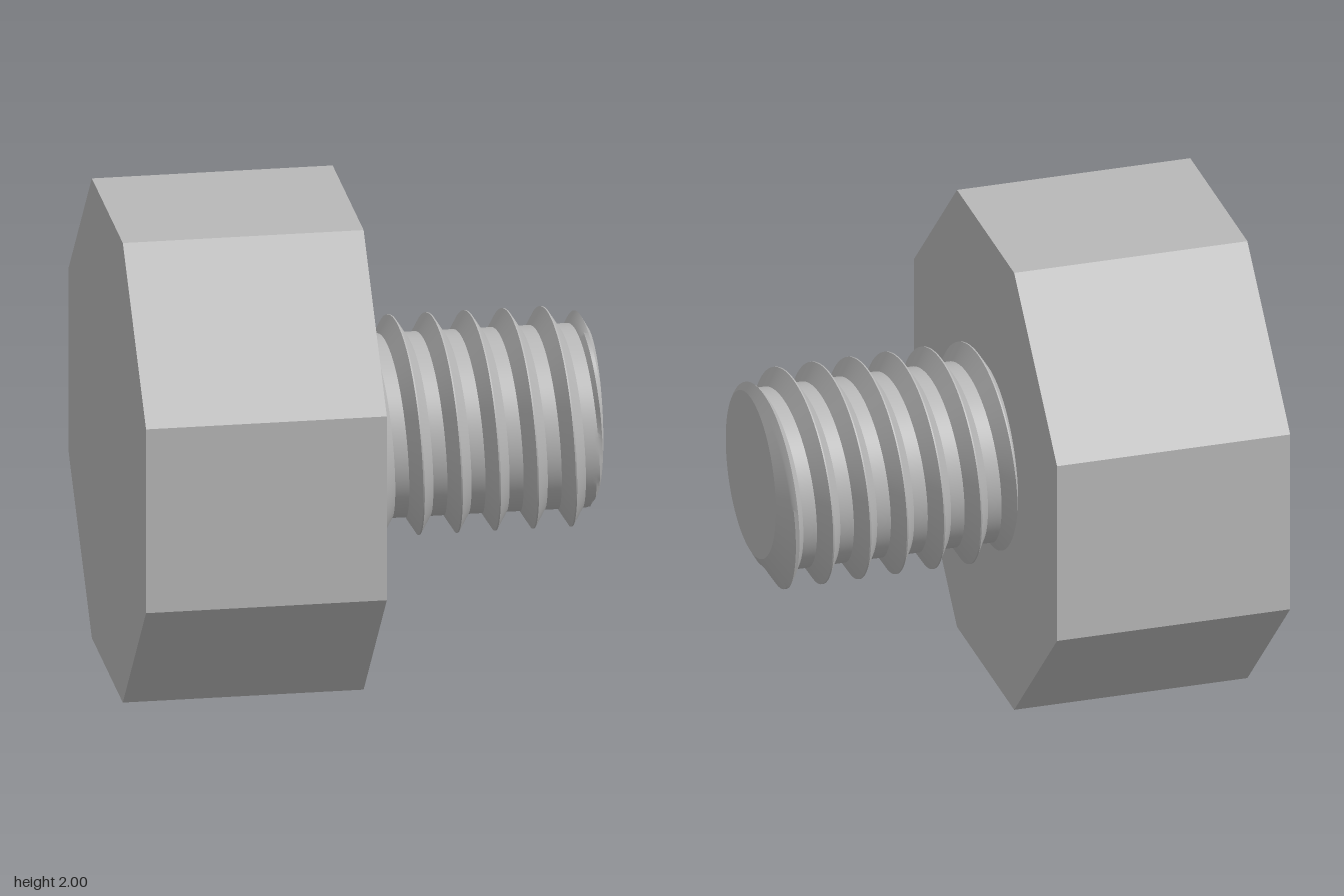
import * as THREE from 'three';
import { toCreasedNormals } from 'three/addons/utils/BufferGeometryUtils.js';

const PITCH = 0.1583, START = 0.04, ROOT = 0.38, CREST = 0.455;
const HALF_BASE = 0.05, HALF_TIP = 0.003, SEGMENTS = 128;

// Radius of the threaded shaft at position x and angle t (0 = up, turning to the front)
function shaftRadius(x, t) {
  const turns = (x - START) / PITCH - t / (Math.PI * 2);
  const d = Math.abs(turns - Math.round(turns)) * PITCH;
  const k = THREE.MathUtils.clamp((HALF_BASE - d) / (HALF_BASE - HALF_TIP), 0, 1);
  const chamfer = 0.35 + 0.022 * (Math.cos(t) + Math.sin(t)) + 1.8 * (1 - x);
  return Math.min(ROOT + (CREST - ROOT) * k, chamfer);
}

function shaftPoint(x, t) {
  const r = shaftRadius(x, t);
  return new THREE.Vector3(x, 1 + r * Math.cos(t), r * Math.sin(t));
}

// Rows follow the helix so the thread edges stay crisp; both ends are cut flat
function threadedShaft() {
  const offsets = [-HALF_BASE, -0.034, -0.018, -HALF_TIP, HALF_TIP, 0.018, 0.034, HALF_BASE, 0.064, 0.079, 0.094];
  const rows = [];
  for (let k = -1; k <= 7; k++) for (const o of offsets) rows.push(START + k * PITCH + o);

  const positions = [];
  const triangle = (a, b, c) => {
    const area = b.clone().sub(a).cross(c.clone().sub(a)).length();
    if (area > 1e-8) for (const p of [a, b, c]) positions.push(p.x, p.y, p.z);
  };
  const centre = new THREE.Vector3(1, 1, 0);
  for (let i = 0; i < SEGMENTS; i++) {
    const t0 = (i / SEGMENTS) * Math.PI * 2, t1 = ((i + 1) / SEGMENTS) * Math.PI * 2;
    const column = (t) => rows.map((u) =>
      shaftPoint(THREE.MathUtils.clamp(u + PITCH * t / (Math.PI * 2), 0, 1), t));
    const c0 = column(t0), c1 = column(t1);
    for (let j = 0; j < rows.length - 1; j++) {
      triangle(c0[j], c1[j], c1[j + 1]);
      triangle(c0[j], c1[j + 1], c0[j + 1]);
    }
    triangle(centre, shaftPoint(1, t0), shaftPoint(1, t1)); // end face
  }
  const geometry = new THREE.BufferGeometry();
  geometry.setAttribute('position', new THREE.Float32BufferAttribute(positions, 3));
  return toCreasedNormals(geometry, 0.45);
}

// Eight-sided head
function octagonHead() {
  const corners = [[1, -0.4], [1, 0.4], [0.4, 1], [-0.4, 1], [-1, 0.4], [-1, -0.4], [-0.4, -1], [0.4, -1]];
  const shape = new THREE.Shape(corners.map(([x, y]) => new THREE.Vector2(x, y)));
  const geometry = new THREE.ExtrudeGeometry(shape, { depth: 1, bevelEnabled: false });
  return geometry.rotateY(Math.PI / 2).translate(-1, 1, 0);
}

export function createModel() {
  const steel = new THREE.MeshStandardMaterial({ color: 0xb8b8b8 });
  steel.name = 'steel grey';
  const group = new THREE.Group();
  group.name = 'bolt';
  const add = (name, geometry) => {
    const mesh = new THREE.Mesh(geometry, steel);
    mesh.name = name;
    group.add(mesh);
  };
  add('head', octagonHead());
  add('threadedShaft', threadedShaft());
  return group;
}
